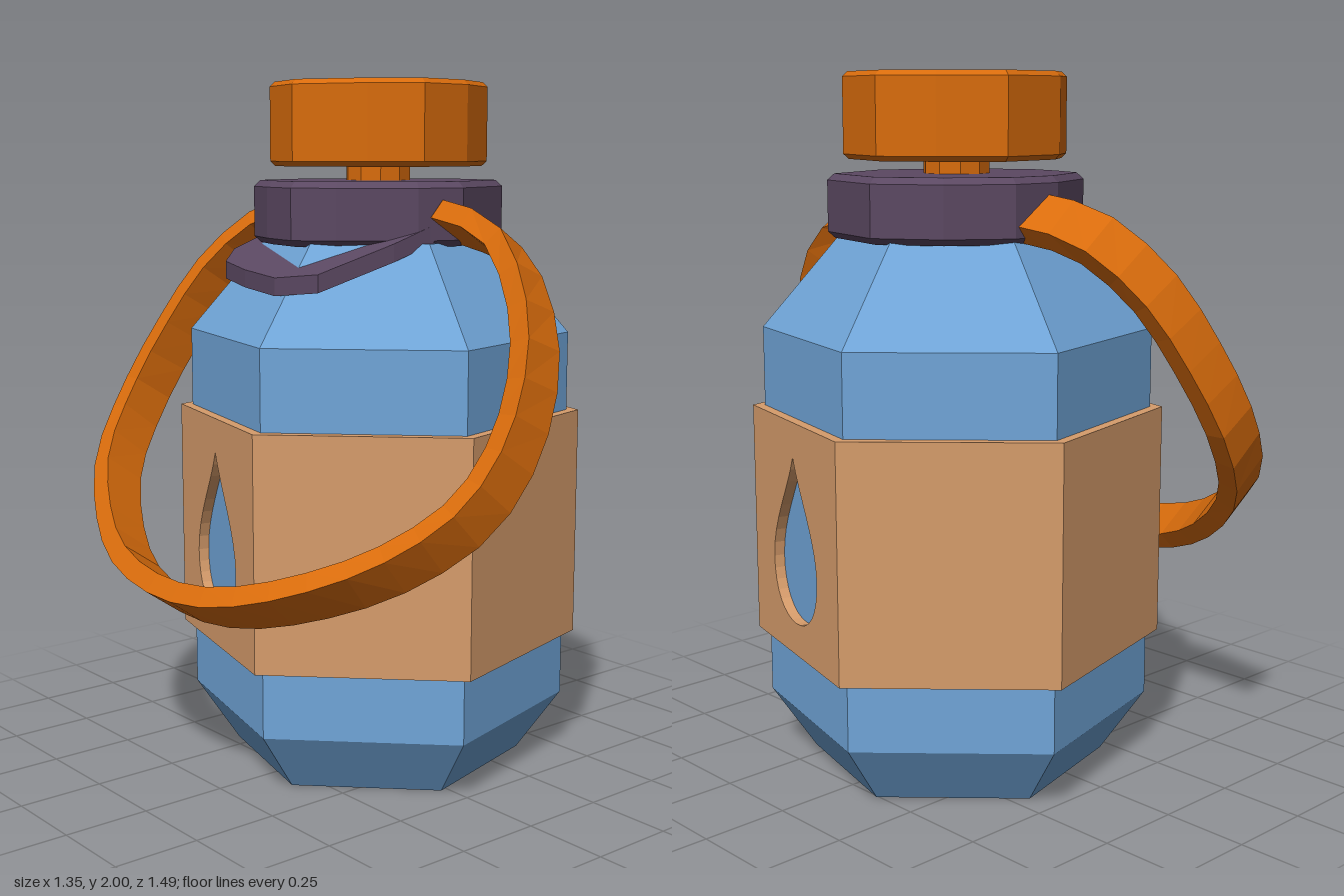
import * as THREE from 'three';

const CX = 0.09; // axis of the bottle
const mat = (name, color) => {
  const m = new THREE.MeshStandardMaterial({ color });
  m.name = name;
  return m;
};

// Faceted low-poly normals
function facet(geo) {
  const g = geo.index ? geo.toNonIndexed() : geo;
  g.computeVertexNormals();
  return g;
}

// Upright prism from an (x, z) outline
function prism(outline, y0, y1, bevel = 0) {
  const shape = new THREE.Shape(outline.map(([x, z]) => new THREE.Vector2(x, -z)));
  const geo = new THREE.ExtrudeGeometry(shape, {
    depth: y1 - y0 - 2 * bevel, bevelEnabled: bevel > 0,
    bevelSize: bevel, bevelOffset: -bevel, bevelThickness: bevel, bevelSegments: 1,
  });
  geo.rotateX(-Math.PI / 2);
  geo.translate(0, y0 + bevel, 0);
  return geo;
}

// Flat strap swept along a curve, its broad side turned toward `across`
function strap(points, across, width, thick) {
  const curve = new THREE.CatmullRomCurve3(points.map(p => new THREE.Vector3(...p)));
  const n = 36, pos = [], idx = [];
  for (let i = 0; i <= n; i++) {
    const p = curve.getPointAt(i / n), t = curve.getTangentAt(i / n);
    const w = across.clone().addScaledVector(t, -across.dot(t)).normalize();
    const d = t.clone().cross(w);
    for (const [a, b] of [[1, 1], [-1, 1], [-1, -1], [1, -1]]) {
      const v = p.clone().addScaledVector(w, a * width / 2).addScaledVector(d, b * thick / 2);
      pos.push(v.x, v.y, v.z);
    }
    if (i === n) continue;
    for (let j = 0; j < 4; j++) {
      const a = i * 4 + j, b = i * 4 + (j + 1) % 4;
      idx.push(a, b, b + 4, a, b + 4, a + 4);
    }
  }
  const e = n * 4;
  idx.push(0, 2, 1, 0, 3, 2, e, e + 1, e + 2, e, e + 2, e + 3);
  const geo = new THREE.BufferGeometry();
  geo.setAttribute('position', new THREE.Float32BufferAttribute(pos, 3));
  geo.setIndex(idx);
  return geo;
}

export function createModel() {
  const model = new THREE.Group();
  model.name = 'waterBottle';
  const blue = mat('bottle blue', 0x70a5d8);
  const tan = mat('band tan', 0xd69c6b);
  const orange = mat('cap orange', 0xd96c0c);
  const purple = mat('collar purple', 0x5b4862);
  const add = (name, geo, material, parent = model) => {
    const mesh = new THREE.Mesh(facet(geo), material);
    mesh.name = name;
    parent.add(mesh);
    return mesh;
  };

  // Six-sided bottle
  const profile = [[0, 0], [0.43, 0], [0.56, 0.18], [0.56, 1.28], [0.33, 1.55], [0, 1.55]]
    .map(([r, y]) => new THREE.Vector2(r, y));
  add('bottleBody', new THREE.LatheGeometry(profile, 6, Math.PI / 4), blue).position.x = CX;

  // Band of six panels, two of them with a drop-shaped cut-out
  const band = new THREE.Group();
  band.name = 'band';
  band.position.x = CX;
  model.add(band);
  const R = 0.595, apothem = R * Math.cos(Math.PI / 6), depth = 0.045;
  for (let k = 0; k < 6; k++) {
    const shape = new THREE.Shape();
    shape.moveTo(-R / 2, 0.375).lineTo(R / 2, 0.375).lineTo(R / 2, 1.05).lineTo(-R / 2, 1.05);
    if (k % 3 === 0) {
      const drop = new THREE.Path();
      drop.moveTo(0, 0.95);
      drop.bezierCurveTo(-0.04, 0.85, -0.155, 0.74, -0.155, 0.63);
      drop.bezierCurveTo(-0.155, 0.53, -0.09, 0.47, 0, 0.47);
      drop.bezierCurveTo(0.09, 0.47, 0.155, 0.53, 0.155, 0.63);
      drop.bezierCurveTo(0.155, 0.74, 0.04, 0.85, 0, 0.95);
      shape.holes.push(drop);
    }
    const geo = new THREE.ExtrudeGeometry(shape, { depth, bevelEnabled: false, curveSegments: 8 });
    geo.translate(0, 0, apothem - depth);
    const panel = add('bandPanel', geo, tan, band);
    panel.rotation.y = THREE.MathUtils.degToRad(75 - 60 * k);
  }

  // Collar ring under the cap
  add('collar', prism([
    [0.45, -0.05], [0.38, 0.22], [0.12, 0.33], [-0.02, 0.3], [-0.19, 0.15], [-0.27, 0.05],
    [-0.24, -0.1], [-0.19, -0.23], [0.02, -0.33], [0.18, -0.33], [0.34, -0.22],
  ], 1.54, 1.72, 0.018), purple);

  // Sloping flap that hangs from the collar over the shoulder
  const flap = prism([
    [0.03, -0.32], [-0.2, -0.32], [-0.28, -0.25], [-0.32, -0.1], [-0.35, 0.08],
    [-0.31, 0.22], [-0.1, 0.29], [0.03, 0.31],
  ], 1.54, 1.59);
  const fp = flap.attributes.position;
  for (let i = 0; i < fp.count; i++) fp.setY(i, fp.getY(i) + 0.37 * fp.getX(i));
  add('collarFlap', flap, purple);

  // Neck and cap
  add('neck', new THREE.CylinderGeometry(0.095, 0.095, 0.12, 10), orange).position.set(CX, 1.73, 0);
  add('cap', prism([
    [0.41, -0.03], [0.345, 0.19], [0.18, 0.28], [0, 0.3], [-0.12, 0.2], [-0.225, 0],
    [-0.16, -0.19], [-0.05, -0.27], [0.18, -0.3], [0.32, -0.17],
  ], 1.76, 2, 0.014), orange);

  // Carrying handle, hinged at both sides of the collar
  add('handle', strap([
    [0.09, 1.61, 0.3], [0.11, 1.55, 0.5], [0.07, 1.33, 0.66], [-0.03, 1.08, 0.715],
    [-0.17, 0.88, 0.69], [-0.33, 0.74, 0.57], [-0.48, 0.65, 0.4], [-0.58, 0.59, 0.18],
    [-0.61, 0.58, -0.03], [-0.59, 0.62, -0.28], [-0.52, 0.71, -0.48], [-0.42, 0.85, -0.64],
    [-0.28, 1.03, -0.715], [-0.17, 1.22, -0.69], [-0.05, 1.43, -0.61], [0.05, 1.57, -0.47],
    [0.1, 1.61, -0.3],
  ], new THREE.Vector3(-0.82, 0.57, 0), 0.14, 0.06), orange);

  return model;
}
